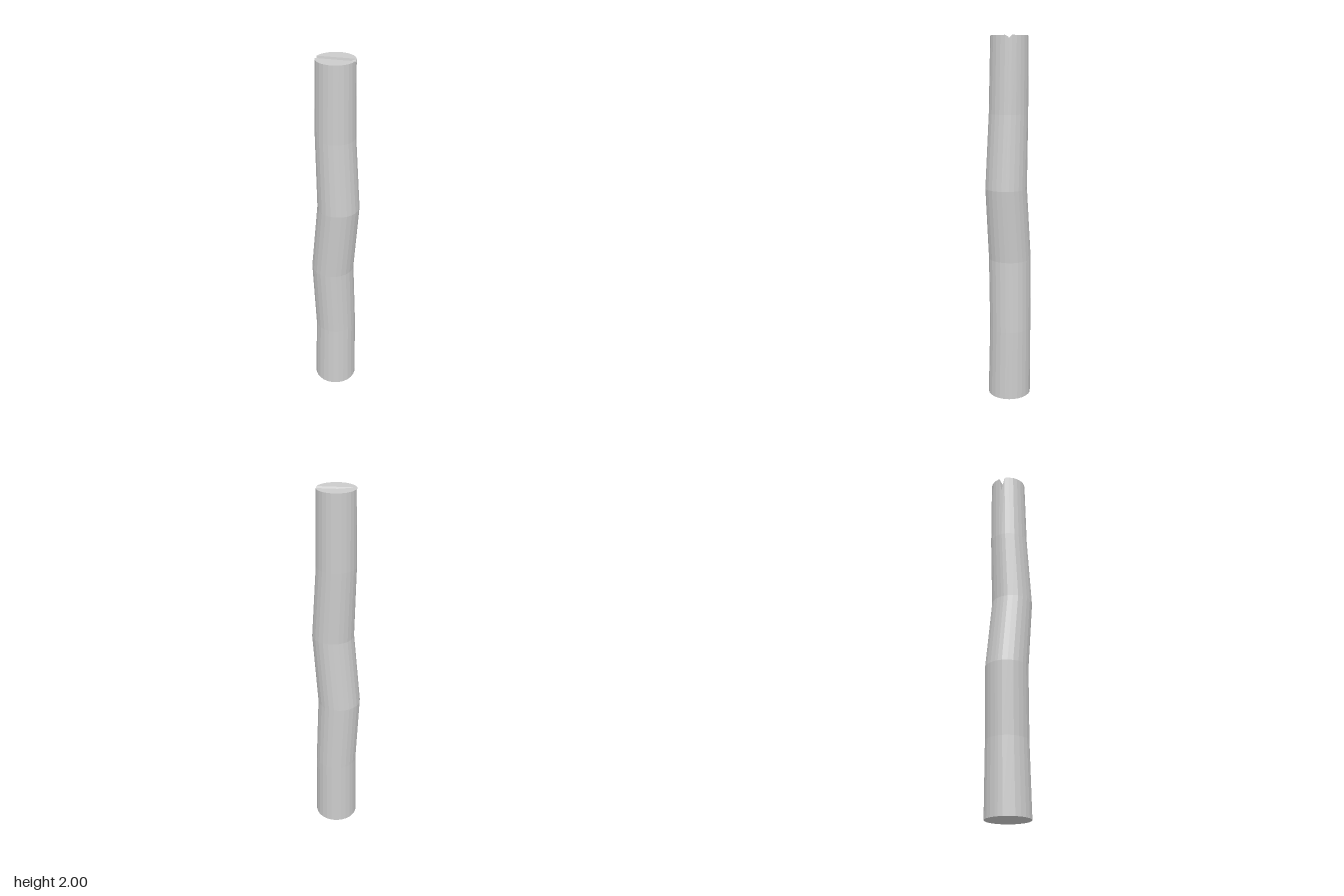
import * as THREE from 'three';

// Crooked post: one ring every 0.4 units as [centre x, y, centre z, radius]
const RINGS = [
  [0, 0, -0.005, 0.12],
  [0.001, 0.4, -0.01, 0.115],
  [-0.016, 0.8, -0.008, 0.117],
  [0.018, 1.2, 0.013, 0.113],
  [0, 1.6, 0, 0.105],
  [0, 2, -0.005, 0.1],
];
const SLOT_TILT = 0.09;
const HALF_STEPS = 11;

// Ring angles: three close points at each end of the slot, even steps between
function ringAngles() {
  const angles = [-0.2, -0.05];
  const arc = (from, to) => {
    for (let i = 0; i <= HALF_STEPS; i++) angles.push(from + ((to - from) * i) / HALF_STEPS);
  };
  arc(0.15, Math.PI - 0.15);
  angles.push(Math.PI + 0.05);
  arc(Math.PI + 0.2, Math.PI * 2 - 0.2);
  angles.pop(); // same as the first point
  return angles.map((a) => a + SLOT_TILT);
}

function postGeometry() {
  const angles = ringAngles();
  const n = angles.length;
  const far = 2 + HALF_STEPS; // front slot edge at the -x end
  const rings = RINGS.map(([x, y, z, r]) =>
    angles.map((a) => new THREE.Vector3(x + r * Math.cos(a), y, z + r * Math.sin(a))));

  // The slot floor slopes from shallow (+x) to deep (-x)
  const top = rings[rings.length - 1];
  top[1].y -= 0.015;
  top[far + 1].y -= 0.09;

  const positions = [];
  const triangle = (...points) => points.forEach((p) => positions.push(p.x, p.y, p.z));
  const fan = (points) => {
    for (let i = 1; i < points.length - 1; i++) triangle(points[0], points[i + 1], points[i]);
  };

  // Bark sides
  for (let k = 0; k < rings.length - 1; k++) {
    const low = rings[k], high = rings[k + 1];
    for (let i = 0; i < n; i++) {
      const j = (i + 1) % n;
      triangle(low[i], high[i], low[j]);
      triangle(low[j], high[i], high[j]);
    }
  }

  // Bottom, the two halves of the top and the two slot walls
  fan([...rings[0]].reverse());
  fan(top.slice(2, far + 1));
  fan([...top.slice(far + 2), top[0]]);
  fan([top[far], top[far + 1], top[1], top[2]]);
  fan([top[far + 1], top[far + 2], top[0], top[1]]);

  const geometry = new THREE.BufferGeometry();
  geometry.setAttribute('position', new THREE.Float32BufferAttribute(positions, 3));
  geometry.computeVertexNormals();
  return geometry;
}

export function createModel() {
  const group = new THREE.Group();
  group.name = 'woodenPost';
  const material = new THREE.MeshStandardMaterial({ color: 0xcccccc, flatShading: true });
  const post = new THREE.Mesh(postGeometry(), material);
  post.name = 'slottedPost';
  group.add(post);
  return group;
}
